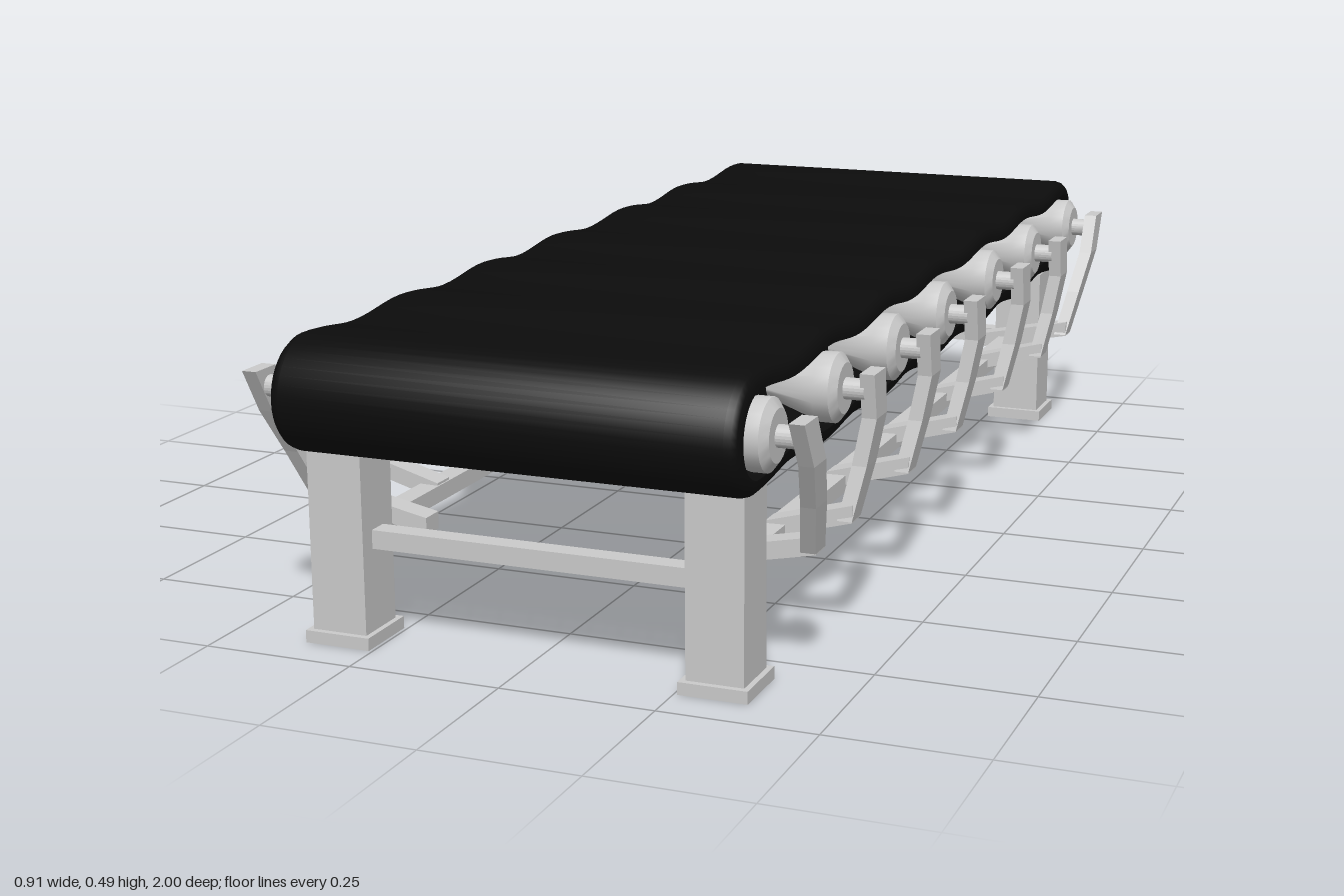
import * as THREE from 'three';
import { toCreasedNormals } from 'three/addons/utils/BufferGeometryUtils.js';

const grey = new THREE.MeshStandardMaterial({ color: 0xcccccc });
const black = new THREE.MeshStandardMaterial({ color: 0x0c0c0c, side: THREE.DoubleSide });
const AXLE_Y = 0.398;
const ROLLERS = [-0.9, -0.585, -0.292, 0.025, 0.308, 0.602, 0.9];

function add(parent, name, geometry, material = grey) {
  const mesh = new THREE.Mesh(geometry, material);
  mesh.name = name;
  parent.add(mesh);
  return mesh;
}

function box(parent, name, w, h, d, x, y, z) {
  add(parent, name, new THREE.BoxGeometry(w, h, d)).position.set(x, y, z);
}

// Square bar through sections [x, y, z, half u, half v]; u and v are section axes
function loft(sections, u, v) {
  const pos = [];
  const rings = sections.map(([x, y, z, a, b]) =>
    [[1, 1], [-1, 1], [-1, -1], [1, -1]].map(([s, t]) =>
      new THREE.Vector3(x, y, z).addScaledVector(u, s * a).addScaledVector(v, t * b)));
  const quad = (a, b, c, d) => [a, b, c, a, c, d].forEach(p => pos.push(p.x, p.y, p.z));
  for (let i = 0; i + 1 < rings.length; i++)
    for (let k = 0; k < 4; k++) {
      const n = (k + 1) % 4;
      quad(rings[i][k], rings[i][n], rings[i + 1][n], rings[i + 1][k]);
    }
  const last = rings[rings.length - 1];
  quad(rings[0][3], rings[0][2], rings[0][1], rings[0][0]);
  quad(...last);
  const g = new THREE.BufferGeometry();
  g.setAttribute('position', new THREE.Float32BufferAttribute(pos, 3));
  g.computeVertexNormals();
  return g;
}

// Endless belt: round at the ends, sagging slightly between rollers
function beltGeometry() {
  const path = [], R = 0.092, END = 0.907;
  const height = z => {
    for (let i = 0; i + 1 < ROLLERS.length; i++) {
      const t = (z - ROLLERS[i]) / (ROLLERS[i + 1] - ROLLERS[i]);
      if (t >= 0 && t <= 1) return R - 0.012 * Math.sin(Math.PI * t) ** 2;
    }
    return R;
  };
  for (const side of [1, -1]) {
    for (let i = 0; i < 72; i++) {
      const z = side * END * (i / 36 - 1);
      path.push([z, side * height(z)]);
    }
    for (let i = 0; i < 20; i++) {
      const a = Math.PI * i / 20;
      path.push([side * (END + R * Math.sin(a)), side * R * Math.cos(a)]);
    }
  }
  // Cross-section [x, depth below the outer surface]
  const profile = [[-0.375, 0.027], [-0.375, 0.02], [-0.372, 0.01], [-0.365, 0.003], [-0.355, 0],
    [0.355, 0], [0.365, 0.003], [0.372, 0.01], [0.375, 0.02], [0.375, 0.027]];
  const pos = [], index = [], n = path.length, m = profile.length;
  path.forEach(([z, y], i) => {
    const p = path[(i + n - 1) % n], q = path[(i + 1) % n];
    const tz = q[0] - p[0], ty = q[1] - p[1], len = Math.hypot(tz, ty);
    profile.forEach(([x, d], j) => {
      pos.push(x, AXLE_Y + y - d * tz / len, z + d * ty / len);
      const i2 = (i + 1) % n, j2 = (j + 1) % m;
      const a = i * m + j, b = i2 * m + j, c = i2 * m + j2, e = i * m + j2;
      index.push(a, b, c, a, c, e);
    });
  });
  const g = new THREE.BufferGeometry();
  g.setAttribute('position', new THREE.Float32BufferAttribute(pos, 3));
  g.setIndex(index);
  return toCreasedNormals(g, 0.8);
}

// Tapered roller end with flange and axle stub
function hubGeometry() {
  const pts = [[0, 0.27], [0.022, 0.27], [0.055, 0.365], [0.055, 0.39], [0.04, 0.401],
    [0.017, 0.401], [0.017, 0.435]].map(([r, y]) => new THREE.Vector2(r, y));
  const g = new THREE.LatheGeometry(pts, 24);
  g.rotateZ(-Math.PI / 2);
  return toCreasedNormals(g, 0.5);
}

export function createModel() {
  const model = new THREE.Group();
  model.name = 'conveyor';
  add(model, 'belt', beltGeometry(), black);

  const X = new THREE.Vector3(1, 0, 0), Y = new THREE.Vector3(0, 1, 0), Z = new THREE.Vector3(0, 0, 1);
  const hub = hubGeometry();

  // Rollers
  const drum = new THREE.CylinderGeometry(0.07, 0.07, 0.56, 28);
  drum.rotateZ(Math.PI / 2);
  for (const z of ROLLERS) add(model, 'roller', drum, black).position.set(0, AXLE_Y, z);

  for (const side of [1, -1]) {
    const half = new THREE.Group();
    half.name = side > 0 ? 'leftSupports' : 'rightSupports';
    half.scale.x = side;
    model.add(half);

    ROLLERS.forEach((z, i) => {
      add(half, 'rollerHub', hub).position.set(0, AXLE_Y, z);
      const end = i === 0 ? -1 : i === ROLLERS.length - 1 ? 1 : 0;
      // z of the arm at its top, bend and foot
      const [z0, z1, z2] = end ? [end * 0.91, end * 0.87, end * 0.782] : [z - 0.008, z - 0.02, z + 0.012];
      const zm = end ? end * 0.825 : z - 0.012;
      add(half, 'bracketArm', loft([
        [0.441, 0.427, z0, 0.012, 0.028],
        [0.441, 0.355, z1, 0.012, 0.026],
        [0.428, 0.28, zm, 0.012, 0.025],
        [0.412, 0.196, z2, 0.012, 0.022]], X, Z));
      add(half, 'bracketFoot', loft([
        [0.424, 0.208, z2, 0.02, 0.014],
        [end ? 0.22 : 0.285, end ? 0.166 : 0.172, z2 + (end ? 0 : 0.008), 0.02, 0.014]], Z, Y));
    });

    // Legs with foot plates, and the side rail between them
    for (const z of [0.875, -0.848]) {
      box(half, 'leg', 0.092, 0.3, 0.092, 0.311, 0.16, z);
      box(half, 'footPlate', 0.11, 0.02, 0.112, 0.311, 0.01, z);
    }
    box(half, 'sideRail', 0.035, 0.028, 1.64, 0.3, 0.168, 0.0135);
  }

  // Cross bars joining the legs
  for (const z of [0.875, -0.848]) box(model, 'crossBar', 0.54, 0.03, 0.035, 0, 0.167, z);
  return model;
}
